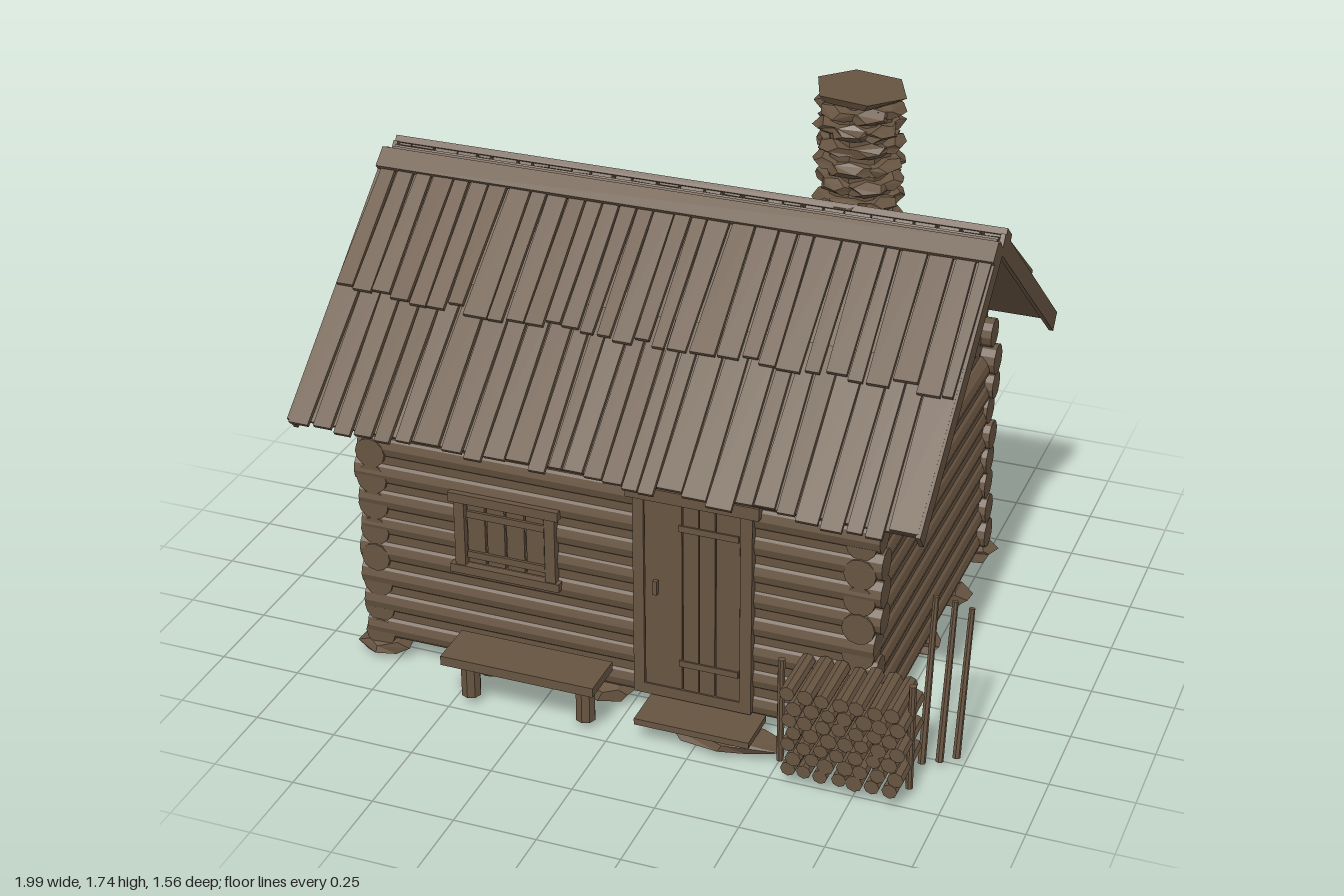
import * as THREE from 'three';

export function createModel() {
  const model = new THREE.Group();
  model.name = 'logCabin';
  const wood = new THREE.MeshStandardMaterial({ color: 0x675441, flatShading: true });
  wood.name = 'weatheredBrown';

  let seed = 7;
  const rand = (a = 0, b = 1) => {
    seed = (seed * 16807) % 2147483647;
    return a + (b - a) * seed / 2147483647;
  };
  const group = (name, parent = model) => {
    const g = new THREE.Group();
    g.name = name;
    parent.add(g);
    return g;
  };
  const add = (parent, name, geo, x = 0, y = 0, z = 0) => {
    const m = new THREE.Mesh(geo, wood);
    m.name = name;
    m.position.set(x, y, z);
    parent.add(m);
    return m;
  };
  // box given by its low and high corners
  const slab = (parent, name, x0, x1, y0, y1, z0, z1) =>
    add(parent, name, new THREE.BoxGeometry(x1 - x0, y1 - y0, z1 - z0),
      (x0 + x1) / 2, (y0 + y1) / 2, (z0 + z1) / 2);
  // round timber between two points
  const pole = (parent, name, a, b, r0, r1 = r0, sides = 8) => {
    const p = new THREE.Vector3(...a), q = new THREE.Vector3(...b);
    const d = q.clone().sub(p);
    const m = add(parent, name, new THREE.CylinderGeometry(r1, r0, d.length(), sides));
    m.position.copy(p).add(q).multiplyScalar(0.5);
    m.quaternion.setFromUnitVectors(new THREE.Vector3(0, 1, 0), d.normalize());
    return m;
  };
  // shifts coincident vertices together, so that solids stay closed
  const roughen = (geo, amount) => {
    const pos = geo.attributes.position, moved = new Map();
    for (let i = 0; i < pos.count; i++) {
      const v = [pos.getX(i), pos.getY(i), pos.getZ(i)];
      const key = v.map(c => Math.round(c * 1e4)).join();
      if (!moved.has(key)) moved.set(key, v.map((c, k) => c + rand(-1, 1) * amount[k]));
      pos.setXYZ(i, ...moved.get(key));
    }
    geo.computeVertexNormals();
    return geo;
  };
  const rock = (parent, name, x, y, z, rx, ry, rz) => {
    const geo = new THREE.DodecahedronGeometry(1).scale(rx, ry, rz);
    return add(parent, name, roughen(geo, [rx * 0.12, ry * 0.12, rz * 0.12]), x, y, z);
  };

  const X0 = -0.8, X1 = 0.7, Z0 = -0.6, Z1 = 0.54, MID = -0.03;

  // foundation stones around the edge
  const base = group('foundation');
  const xs = [X0, -0.45, -0.08, 0.33, X1], zs = [Z0, -0.32, MID, 0.27, Z1];
  xs.forEach((x, i) => zs.forEach((z, j) => {
    if (i % 4 === 0 || j % 4 === 0) rock(base, 'foundationStone', x, 0.044, z, 0.084, 0.038, 0.068);
  }));
  slab(base, 'floor', X0, X1, 0.075, 0.105, Z0, Z1);

  // interlocking log walls with filled joints
  const walls = group('logWalls');
  const PITCH = 0.0885, FILL = 0.034;
  for (let i = 0; i < 9; i++) {
    for (const z of [Z0, Z1]) {
      const y = 0.115 + i * PITCH;
      pole(walls, 'longWallLog', [X0 - rand(0.038, 0.055), y, z], [X1 + rand(0.045, 0.065), y, z],
        rand(0.045, 0.049), rand(0.045, 0.049), 12);
    }
    if (i < 8) for (const x of [X0, X1]) {
      const y = 0.094 + i * PITCH;
      pole(walls, 'sideWallLog', [x, y, Z0 - rand(0.04, 0.055)], [x, y, Z1 + rand(0.04, 0.05)],
        rand(0.045, 0.049), rand(0.045, 0.049), 12);
    }
  }
  for (const z of [Z0, Z1]) slab(walls, 'longWallFilling', X0, X1, 0.1, 0.83, z - FILL, z + FILL);
  for (const x of [X0, X1]) slab(walls, 'sideWallFilling', x - FILL, x + FILL, 0.09, 0.73, Z0, Z1);

  // gables of upright planks, cut to the roof slope
  const roofY = z => 1.385 - 0.81 * Math.abs(z - MID);
  const gablePart = (parent, name, x, z0, z1, depth) => {
    const pts = [[z0, 0.75], [z1, 0.75], [z1, roofY(z1)]];
    if (z0 < MID && z1 > MID) pts.push([MID, roofY(MID)]);
    pts.push([z0, roofY(z0)]);
    const shape = new THREE.Shape(pts.map(([z, y]) => new THREE.Vector2(-z, y)));
    const geo = new THREE.ExtrudeGeometry(shape, { depth, bevelEnabled: false });
    add(parent, name, geo.rotateY(Math.PI / 2).translate(-depth / 2, 0, 0), x);
  };
  const joints = [-0.63, -0.55, -0.5, -0.45, -0.37, -0.31, -0.25, -0.18, -0.11, -0.03,
    0.05, 0.09, 0.15, 0.22, 0.28, 0.34, 0.4, 0.46, 0.52, 0.57];
  for (const x of [X0, X1]) {
    const gable = group('gable');
    gablePart(gable, 'gableBacking', x, MID - 0.6, MID + 0.6, 0.02);
    for (let i = 1; i < joints.length; i++)
      gablePart(gable, 'gablePlank', x, joints[i - 1] + 0.002, joints[i] - 0.002, rand(0.03, 0.036));
  }

  // roof: two slopes, local z runs down the slope and local y points outward
  const roof = group('roof');
  roof.position.set(-0.05, 1.36, MID);
  for (const turn of [0, Math.PI]) {
    const side = group(turn ? 'backRoof' : 'frontRoof', roof);
    side.rotation.y = turn;
    const slope = group('slope', side);
    slope.rotation.x = 39 * Math.PI / 180;
    slab(slope, 'roofDeck', -0.935, 0.935, 0.031, 0.044, -0.028, 0.88);
    for (const s of [-1, 1])
      slab(slope, 'bargeBoard', s * 0.943 - 0.007, s * 0.943 + 0.007, 0, 0.06, -0.015, 0.89);
    // two overlapping courses of uneven, tapering boards
    for (const [name, start, end, lift, tilt] of
      [['lowerRoofBoard', 0.38, 0.895, 0.052, 0], ['upperRoofBoard', 0.005, 0.467, 0.064, 0.025]]) {
      let x = -0.945;
      while (x < 0.93) {
        let w = rand(0.045, 0.082);
        if (x + w > 0.91) w = 0.945 - x;
        const len = end - start + rand(-0.015, 0.02);
        const geo = new THREE.BoxGeometry(w - 0.004, 0.014, len);
        const pos = geo.attributes.position;
        const taper = [rand(0.72, 1), rand(0.72, 1)], narrowEnd = rand() < 0.5 ? 1 : -1;
        for (let i = 0; i < pos.count; i++)
          if (pos.getZ(i) * narrowEnd > 0) pos.setX(i, pos.getX(i) * taper[pos.getX(i) > 0 ? 1 : 0]);
        geo.computeVertexNormals();
        const board = add(slope, name, geo, x + w / 2, lift + rand(-0.002, 0.003), start + len / 2);
        board.rotation.set(-tilt, 0, rand(-0.03, 0.03));
        x += w;
      }
    }
    slab(slope, 'ridgeBoard', -0.95, 0.95, 0.06, 0.08, -0.004, 0.062);
  }

  // chimney of flat rough stones stacked in courses around a core
  const chimney = group('chimney');
  add(chimney, 'chimneyCore', new THREE.CylinderGeometry(0.095, 0.095, 0.6, 8), 0.42, 1.41, -0.2);
  for (let i = 0; i < 11; i++) {
    for (let k = 0; k < 6; k++) {
      const a = (k + (i % 2) / 2 + rand(-0.12, 0.12)) * Math.PI / 3;
      const stone = rock(chimney, 'chimneyStone', 0.42 + 0.08 * Math.cos(a), 1.125 + i * 0.056,
        -0.2 + 0.08 * Math.sin(a), 0.055, 0.027, 0.07);
      stone.rotation.set(rand(-0.08, 0.08), -a, rand(-0.1, 0.1));
    }
  }
  const cap = add(chimney, 'capStone',
    roughen(new THREE.CylinderGeometry(0.14, 0.115, 0.025, 6), [0.006, 0.002, 0.006]), 0.42, 1.721, -0.2);
  cap.rotation.set(0, 0.4, -0.05);

  // plank door with frame
  const door = group('door');
  slab(door, 'doorPanel', 0.06, 0.36, 0.12, 0.75, 0.55, 0.588);
  const seams = [0.063, 0.18, 0.23, 0.28, 0.355];
  for (let i = 0; i < 4; i++)
    slab(door, 'doorPlank', seams[i] + 0.002, seams[i + 1] - 0.002, 0.13, 0.742, 0.58, 0.597);
  for (const y of [0.22, 0.67]) slab(door, 'doorBatten', 0.17, 0.35, y - 0.01, y + 0.01, 0.595, 0.602);
  slab(door, 'leftJamb', 0.355, 0.39, 0.1, 0.75, 0.55, 0.602);
  slab(door, 'rightJamb', 0.03, 0.063, 0.1, 0.75, 0.55, 0.602);
  slab(door, 'lintel', 0.01, 0.41, 0.745, 0.785, 0.55, 0.606);
  slab(door, 'threshold', 0.03, 0.39, 0.095, 0.13, 0.55, 0.602);
  slab(door, 'doorHandle', 0.093, 0.106, 0.44, 0.485, 0.595, 0.61);

  // shuttered window
  const win = group('window');
  slab(win, 'shutterBacking', -0.5, -0.24, 0.4, 0.62, 0.55, 0.58);
  for (let i = 0; i < 4; i++)
    slab(win, 'shutterPlank', -0.49 + i * 0.062, -0.435 + i * 0.062, 0.415, 0.608, 0.575, 0.593);
  for (const y of [0.445, 0.58]) slab(win, 'shutterBatten', -0.49, -0.245, y - 0.011, y + 0.011, 0.59, 0.601);
  for (const x of [-0.513, -0.228]) slab(win, 'windowJamb', x - 0.016, x + 0.016, 0.395, 0.63, 0.55, 0.602);
  slab(win, 'windowHead', -0.545, -0.2, 0.615, 0.645, 0.55, 0.606);
  slab(win, 'windowSill', -0.545, -0.2, 0.378, 0.405, 0.55, 0.606);

  // bench and doorstep
  const bench = group('bench');
  slab(bench, 'benchSeat', -0.51, -0.03, 0.16, 0.19, 0.62, 0.77);
  for (const x of [-0.45, -0.085])
    pole(bench, 'benchLeg', [x, 0.03, 0.695], [x, 0.17, 0.695], 0.03, 0.03, 8);
  const step = group('doorstep');
  slab(step, 'stepPlank', 0.08, 0.43, 0.07, 0.09, 0.58, 0.73);
  rock(step, 'stepStone', 0.33, 0.043, 0.65, 0.18, 0.028, 0.075);

  // stacked firewood between two stakes
  const pile = group('woodPile');
  for (let row = 0; row < 7; row++) {
    for (let col = 0; col < 7; col++) {
      const x = 0.56 + col * 0.05 + (row % 2) * 0.018 + rand(-0.004, 0.004);
      const y = 0.063 + row * 0.0415 + rand(-0.003, 0.003);
      pole(pile, 'firewood', [x, y, rand(0.585, 0.595)], [x, y, rand(0.768, 0.778)],
        rand(0.021, 0.026), rand(0.021, 0.026), 8);
    }
  }
  for (const x of [0.512, 0.895]) pole(pile, 'pileStake', [x, 0.03, 0.69], [x, 0.37, 0.69], 0.011);

  // poles leaning against the side
  const poles = group('leaningPoles');
  [[0.895, 0.55, 0.57, 0.5], [0.94, 0.52, 0.545, 0.46], [0.98, 0.485, 0.51, 0.425]].forEach(([x, top, zb, zt]) =>
    pole(poles, 'leaningPole', [x, 0.035, zb], [x + 0.002, top, zt], 0.012, 0.009, 7));

  return model;
}
